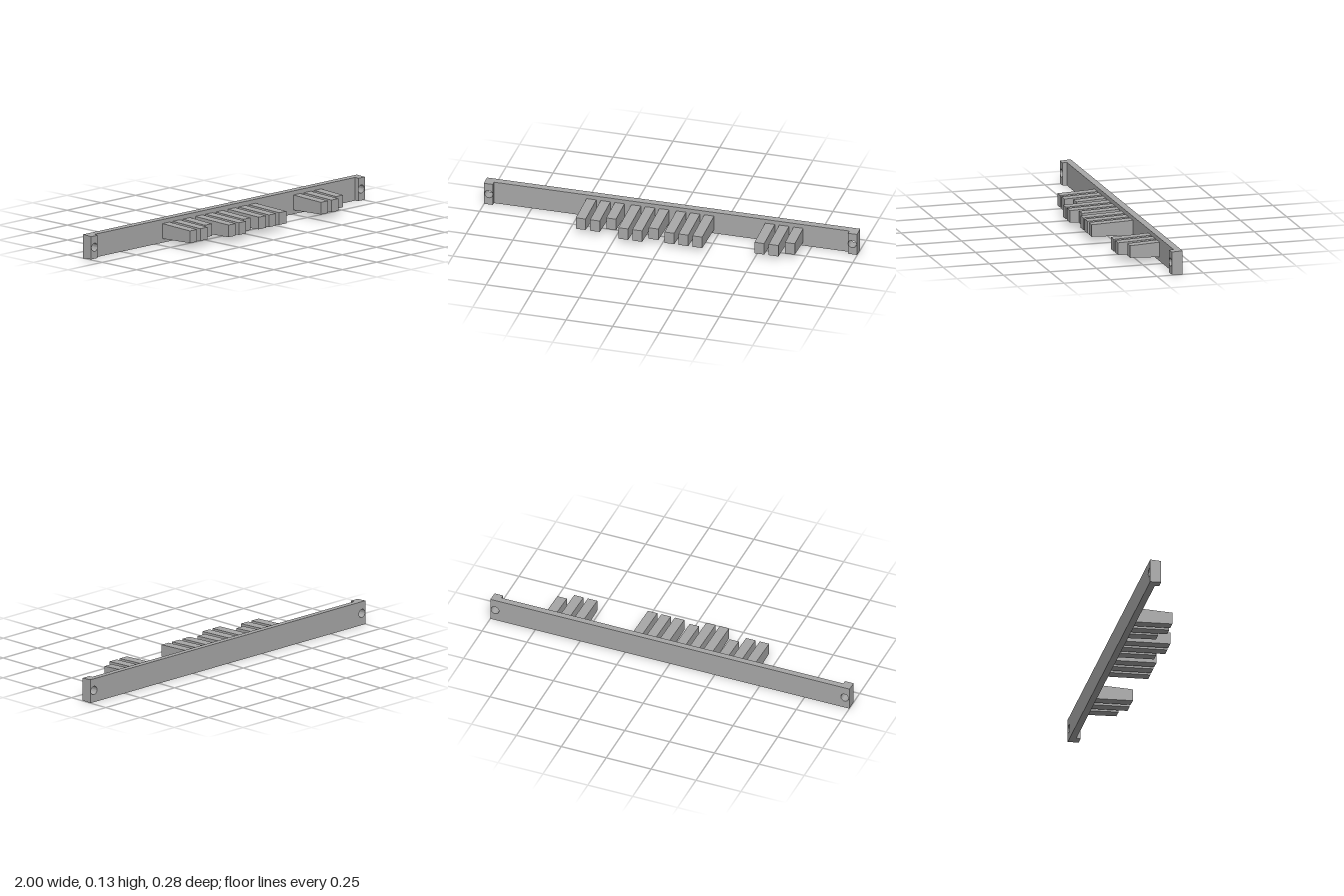
import * as THREE from 'three';
import { toCreasedNormals } from 'three/addons/utils/BufferGeometryUtils.js';

const MID = 0.064; // height of the centre line
const BACK = -0.138, FACE = -0.103, LUG = -0.08;
const HOLE_X = 0.974, HOLE_R = 0.022;

// Narrows a geometry in height: half height h0 at z0, h1 at z1, for a shape of half height 1
function taper(geometry, z0, h0, z1, h1) {
  const p = geometry.attributes.position;
  for (let i = 0; i < p.count; i++) {
    const h = THREE.MathUtils.mapLinear(p.getZ(i), z0, z1, h0, h1);
    p.setY(i, MID + p.getY(i) * h);
  }
  geometry.computeVertexNormals();
  return geometry;
}

// Slab from x0 to x1 with round screw holes, drafted toward the front
function drilledSlab(x0, x1, z0, z1, holes) {
  const h = z => THREE.MathUtils.mapLinear(z, BACK, LUG, 0.063, 0.06);
  const s = new THREE.Shape();
  s.moveTo(x0, -1).lineTo(x1, -1).lineTo(x1, 1).lineTo(x0, 1).closePath();
  for (const x of holes) {
    s.holes.push(new THREE.Path().absellipse(x, 0, HOLE_R, HOLE_R / 0.062, 0, Math.PI * 2, true));
  }
  const g = new THREE.ExtrudeGeometry(s, { depth: z1 - z0, bevelEnabled: false, curveSegments: 12 });
  g.translate(0, 0, z0);
  return toCreasedNormals(taper(g, z0, h(z0), z1, h(z1)), 0.7);
}

export function createModel() {
  const group = new THREE.Group();
  const grey = new THREE.MeshStandardMaterial({ color: 0xa8a8a8 });
  grey.name = 'grey';
  const add = (name, geometry) => {
    const mesh = new THREE.Mesh(geometry, grey);
    mesh.name = name;
    group.add(mesh);
  };

  // Long back bar and the two raised mounting ends
  add('backBar', drilledSlab(-1, 1, BACK, FACE, [-HOLE_X, HOLE_X]));
  add('leftMount', drilledSlab(0.952, 1, FACE, LUG, [HOLE_X]));
  add('rightMount', drilledSlab(-1, -0.952, FACE, LUG, [-HOLE_X]));

  // Tapered teeth: centre x, front z
  const teeth = [
    [-0.43, 0.097], [-0.354, 0.097], [-0.279, 0.055],
    [-0.19, 0.139], [-0.115, 0.139], [-0.04, 0.097],
    [0.051, 0.118], [0.126, 0.118], [0.201, 0.118],
    [0.527, 0.097], [0.603, 0.097], [0.679, 0.055],
  ];
  teeth.forEach(([x, tip], i) => {
    const root = FACE - 0.01;
    const g = new THREE.BoxGeometry(0.052, 2, tip - root);
    g.translate(x, 0, (tip + root) / 2);
    add(`tooth${i + 1}`, taper(g, root, 0.04, tip, 0.032));
  });
  return group;
}
